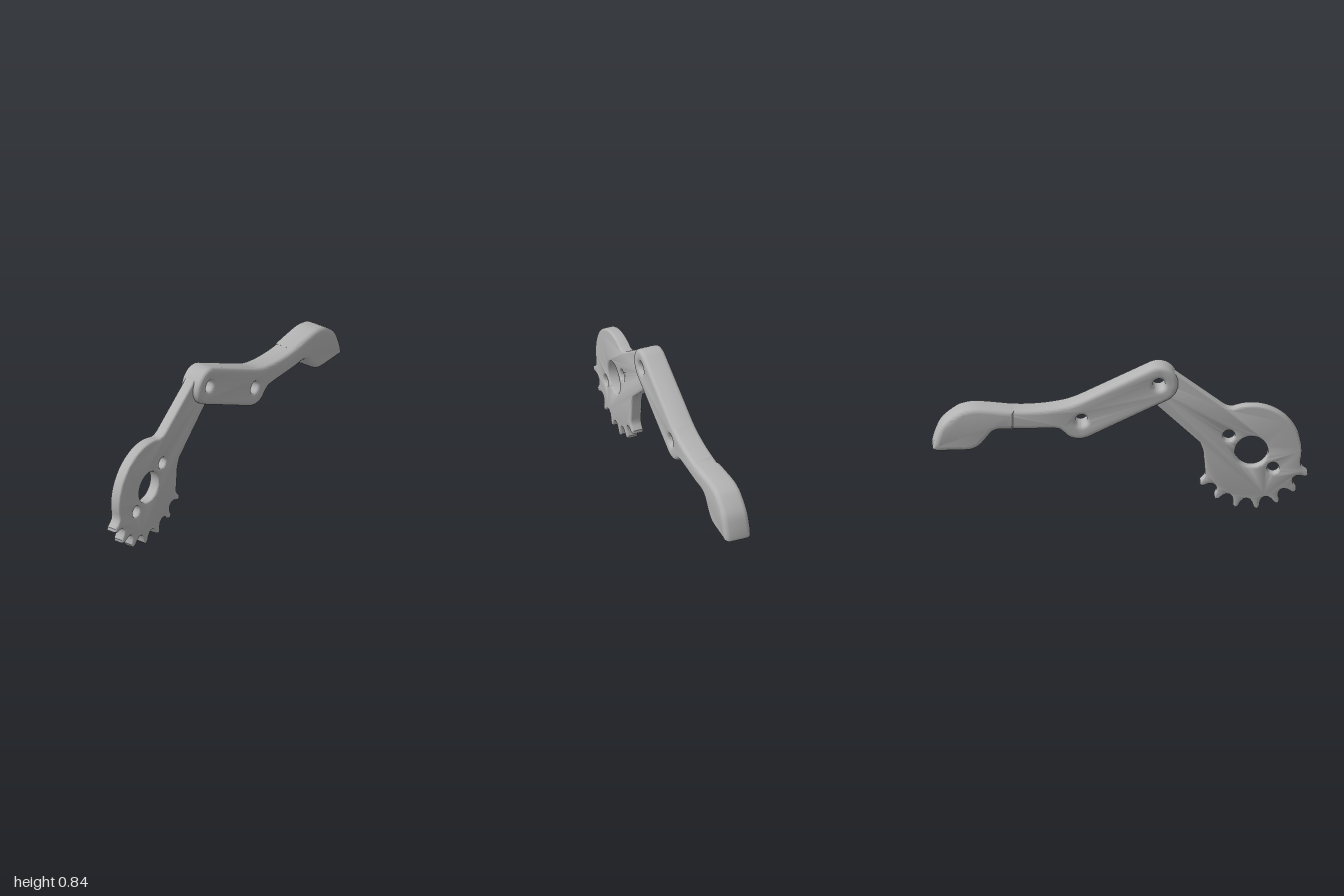
import * as THREE from 'three';
import { toCreasedNormals } from 'three/addons/utils/BufferGeometryUtils.js';

const V = (x, y) => new THREE.Vector2(x, y);

// points on an arc about (cx, cy), angles in degrees
function arc(cx, cy, r, from, to, steps) {
  const pts = [];
  for (let i = 0; i <= steps; i++) {
    const a = THREE.MathUtils.degToRad(from + (to - from) * i / steps);
    pts.push(V(cx + r * Math.cos(a), cy + r * Math.sin(a)));
  }
  return pts;
}

const smooth = (list, n) => new THREE.SplineCurve(list.map(([x, y]) => V(x, y))).getPoints(n);

// rounded plate from an outline with round holes; back(x) and front(x) give its z faces
function plate(name, points, holes, bevel, back, front, material) {
  const shape = new THREE.Shape(points);
  for (const [x, y, r] of holes) {
    shape.holes.push(new THREE.Path().absarc(x, y, r, 0, Math.PI * 2, true));
  }
  const thick = front(0) - back(0);
  const geo = new THREE.ExtrudeGeometry(shape, {
    depth: thick - 2 * bevel, bevelThickness: bevel, bevelSize: bevel,
    bevelOffset: -bevel, bevelSegments: 4, curveSegments: 20,
  });
  const p = geo.attributes.position;
  for (let i = 0; i < p.count; i++) {
    const x = p.getX(i);
    p.setZ(i, THREE.MathUtils.lerp(back(x), front(x), (p.getZ(i) + bevel) / thick));
  }
  const mesh = new THREE.Mesh(toCreasedNormals(geo, 0.65), material);
  mesh.name = name;
  return mesh;
}

export function createModel() {
  const group = new THREE.Group();
  group.name = 'gearLever';
  const grey = new THREE.MeshStandardMaterial({ color: 0xb3b3b3 });
  grey.name = 'plain grey';

  // toothed hub with its arm
  const cx = -0.7, cy = 0.34;
  const polar = (deg, r) => arc(cx, cy, r, deg, deg, 1)[0];
  const gear = arc(cx, cy, 0.268, 69, 194, 28);
  for (let i = 0; i < 7; i++) {
    const a = 205 + i * 20.1;
    for (const [d, r] of [[-6.5, 0.277], [-4, 0.295], [-2.6, 0.322], [0, 0.333],
      [2.6, 0.322], [4, 0.295], [6.5, 0.277], [10, 0.271]]) gear.push(polar(a + d, r));
  }
  gear.push(V(-0.447, 0.3), V(-0.443, 0.35), V(-0.425, 0.398));
  gear.push(...arc(-0.205, 0.745, 0.1, -52, 128, 16));
  gear.push(V(-0.55, 0.608), V(-0.568, 0.597), V(-0.585, 0.592));
  group.add(plate('gearArm', gear,
    [[cx, cy, 0.088], [-0.58, 0.435, 0.032], [-0.815, 0.243, 0.032], [-0.207, 0.745, 0.032]],
    0.011, () => -0.027, () => 0.037, grey));

  // slanting front face shared by link and grip
  const front = (x) => 0.079 - 0.012 * (x + 0.3);

  // link with two pivot holes, narrowing into the stem
  const link = [
    ...arc(-0.207, 0.745, 0.103, 65, 242, 18),
    ...smooth([[0.14, 0.464], [0.17, 0.45], [0.205, 0.441], [0.245, 0.444], [0.275, 0.457],
      [0.305, 0.485], [0.335, 0.502], [0.4, 0.505], [0.49, 0.506], [0.58, 0.508], [0.65, 0.516]], 36),
    ...smooth([[0.65, 0.616], [0.57, 0.612], [0.495, 0.61], [0.4, 0.615], [0.31, 0.628],
      [0.25, 0.644], [0.195, 0.667]], 24),
  ];
  group.add(plate('link', link, [[-0.207, 0.745, 0.032], [0.205, 0.548, 0.032]],
    0.022, (x) => -0.049 - 0.018 * (x + 0.3), front, grey));

  // thicker paddle grip
  const grip = [
    ...smooth([[0.565, 0.612], [0.65, 0.623], [0.76, 0.634], [0.82, 0.628], [0.87, 0.609],
      [0.945, 0.548], [0.98, 0.48], [0.998, 0.415], [0.992, 0.4], [0.975, 0.394]], 40),
    ...smooth([[0.9, 0.393], [0.81, 0.394], [0.775, 0.403], [0.74, 0.427], [0.69, 0.487],
      [0.67, 0.502], [0.64, 0.509], [0.565, 0.508]], 28),
  ];
  group.add(plate('grip', grip, [], 0.026,
    (x) => -0.074 - 0.011 * (x - 0.57) / 0.43, front, grey));

  return group;
}
